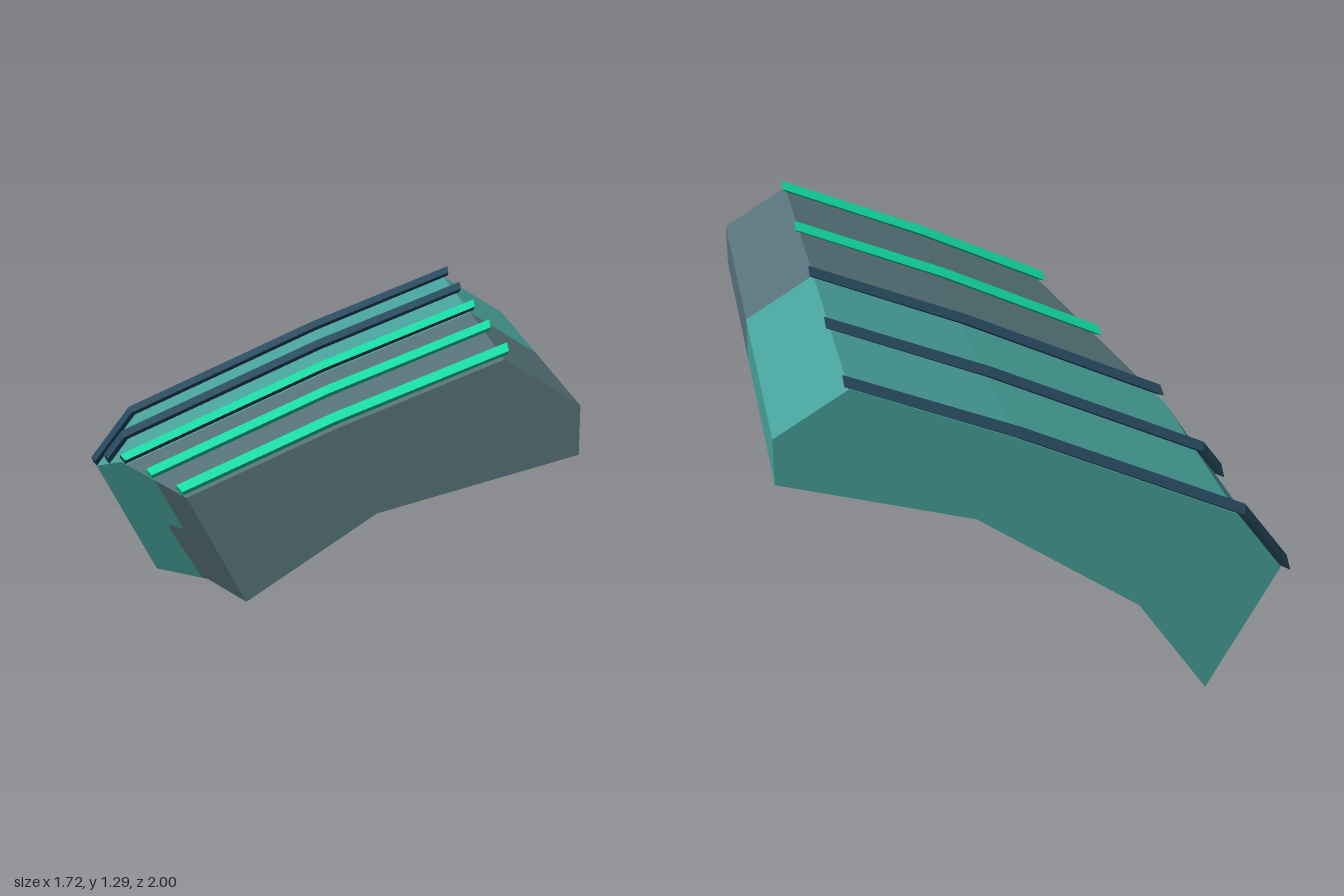
import * as THREE from 'three';

const paint = (name, color) => Object.assign(new THREE.MeshStandardMaterial({ color, flatShading: true }), { name });

// Slanted end plane: NX*x + NY*y - (C0 + K*(z - BACK)) = 0
const NX = 0.879, NY = 0.478, C0 = -0.527, K = 0.2857;
const BACK = -0.96, FRONT = 1, SPLIT = 0.02;
const side = ([x, y, z]) => NX * x + NY * y - (C0 + K * (z - BACK));

// Keep the part of a convex polygon on the inner side of the slanted plane
function trim(poly) {
  const out = [];
  poly.forEach((a, i) => {
    const b = poly[(i + 1) % poly.length], fa = side(a), fb = side(b);
    if (fa >= -1e-3) out.push(a);
    if ((fa < -1e-3 && fb > 1e-3) || (fa > 1e-3 && fb < -1e-3)) {
      const t = fa / (fa - fb);
      out.push(a.map((v, k) => v + (b[k] - v) * t));
    }
  });
  return out;
}

// Flat mesh from convex polygons
function polyMesh(name, polys, material) {
  const pos = [];
  for (const p of polys)
    for (let i = 1; i + 1 < p.length; i++) pos.push(...p[0], ...p[i], ...p[i + 1]);
  const g = new THREE.BufferGeometry();
  g.setAttribute('position', new THREE.Float32BufferAttribute(pos, 3));
  g.computeVertexNormals();
  const m = new THREE.Mesh(g, material);
  m.name = name;
  return m;
}

export function createModel() {
  const grey = paint('slate grey', 0x567379);
  const teal = paint('teal', 0x48a29b);
  const green = paint('bright green', 0x10d6a0);
  const navy = paint('navy', 0x26485d);
  const model = new THREE.Group();
  model.name = 'archedPanel';

  // Arched profile, counter-clockwise seen from the front
  const outline = [
    [-0.845, 0.455], [-0.6, 0], [-0.35, 0.36], [0.21, 0.75], [0.855, 0.94],
    [0.855, 1.1], [0.61, 1.25], [0.08, 1.03], [-0.68, 0.675],
  ];
  const blocks = [[0, 1, 2, 8], [8, 2, 3, 7], [7, 3, 4, 5, 6]];

  // Body halves: panels around the profile plus one end wall each
  const half = (name, z0, z1, endZ, material) => {
    const polys = outline.map((a, i) => {
      if (i === 0) return [];
      const b = outline[(i + 1) % outline.length];
      return trim([[...a, z1], [...a, z0], [...b, z0], [...b, z1]]);
    });
    for (const block of blocks) {
      const wall = trim(block.map((i) => [...outline[i], endZ]));
      polys.push(endZ > 0 ? wall : wall.reverse());
    }
    model.add(polyMesh(name, polys, material));
  };
  half('frontBody', SPLIT, FRONT, FRONT, grey);
  half('backBody', BACK, SPLIT, BACK, teal);

  // Slanted end face, with a stepped border between its two colours
  const border = [
    [-0.372, 0.328], [-0.483, 0.47], [-0.493, 0.497], [-0.483, 0.528],
    [-0.438, 0.56], [-0.432, 0.585], [-0.525, 0.747],
  ];
  const endFace = (name, pts, material) => {
    const g = new THREE.ShapeGeometry(new THREE.Shape(pts.map((p) => new THREE.Vector2(...p))));
    const p = g.attributes.position;
    for (let i = 0; i < p.count; i++)
      p.setZ(i, BACK + (NX * p.getX(i) + NY * p.getY(i) - C0) / K);
    g.computeVertexNormals();
    const m = new THREE.Mesh(g, material);
    m.name = name;
    model.add(m);
  };
  endFace('slantedEndBack', [outline[0], outline[1], ...border, outline[8]], teal);
  endFace('slantedEndFront',
    [outline[2], [-0.211, 0.457], [-0.4, 0.806], ...[...border].reverse()], grey);

  // Diamond-section ribs following the top, cut off at the slanted end
  const path = [[0.624, 1.255], [0.08, 1.03], [-0.68, 0.675], [-0.845, 0.455]];
  const normals = [[0, 1], [-0.41, 0.91], [-0.63, 0.83]];
  const H = 0.02, W = 0.047;
  const ring = (i, z) => {
    const [x, y] = path[i], [nx, ny] = normals[i];
    const at = (h, dz) => [x + nx * h, y + ny * h, z + dz];
    return [at(2 * H, 0), at(H, W), at(0, 0), at(H, -W)];
  };
  const rib = (name, z, material, frontTop) => {
    const rings = [ring(0, z), ring(1, z)];
    const kink = ring(2, z);
    if (kink.every((v) => side(v) > 0)) rings.push(kink);
    const n = rings.length;
    const dx = path[n][0] - path[n - 1][0], dy = path[n][1] - path[n - 1][1];
    rings.push(rings[n - 1].map((v) => {
      const t = -side(v) / (NX * dx + NY * dy);
      return [v[0] + dx * t, v[1] + dy * t, v[2]];
    }));
    const main = [rings[0], [...rings[n]].reverse()], top = [];
    for (let s = 0; s < n; s++)
      for (let k = 0; k < 4; k++) {
        const A = rings[s], B = rings[s + 1], j = (k + 1) % 4;
        (k === 0 ? top : main).push([A[k], B[k], B[j], A[j]]);
      }
    const g = new THREE.Group();
    g.name = name;
    g.add(polyMesh(name + 'Body', main, material), polyMesh(name + 'FrontTop', top, frontTop));
    model.add(g);
  };
  rib('ribFront', 0.941, green, green);
  rib('ribFrontInner', 0.469, green, green);
  rib('ribMiddle', -0.003, navy, green);
  rib('ribBackInner', -0.477, navy, navy);
  rib('ribBack', -0.952, navy, navy);

  return model;
}
